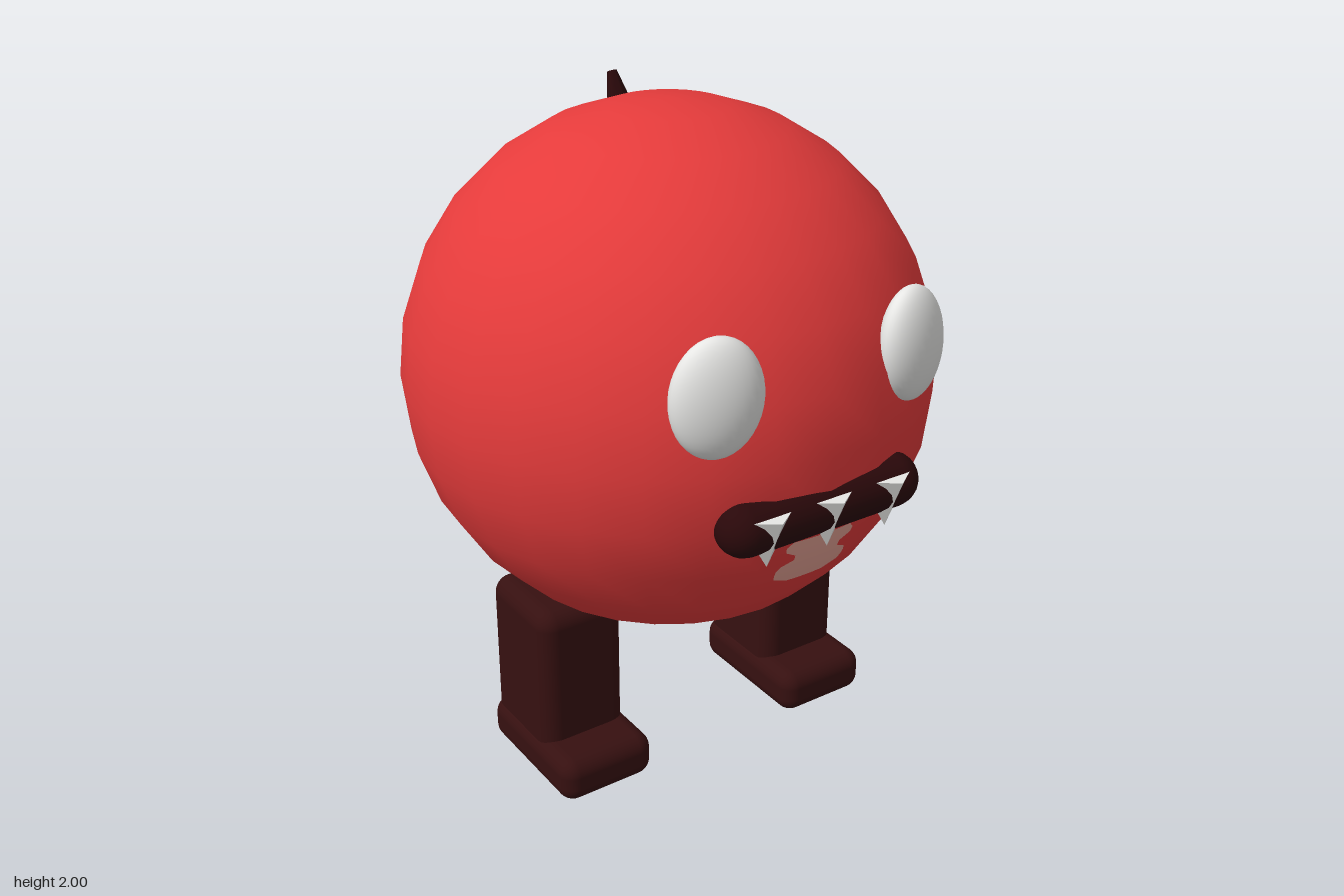
import * as THREE from 'three';
import { RoundedBoxGeometry } from 'three/addons/geometries/RoundedBoxGeometry.js';

const mat = (name, color) => {
  const m = new THREE.MeshStandardMaterial({ color });
  m.name = name;
  return m;
};

export function createModel() {
  const group = new THREE.Group();
  const red = mat('red skin', 0xe53b3b);
  const white = mat('off white', 0xe6e6e4);
  const maroon = mat('dark maroon', 0x361010);
  const black = mat('mouth black', 0x2a080a);
  const pink = mat('pale pink', 0xf0aa9c);
  pink.side = THREE.DoubleSide;

  const add = (name, geo, material, x, y, z) => {
    const mesh = new THREE.Mesh(geo, material);
    mesh.name = name;
    mesh.position.set(x, y, z);
    group.add(mesh);
    return mesh;
  };

  // Round body
  const R = 0.777, CY = 1.2, CZ = -0.022;
  add('body', new THREE.SphereGeometry(R, 28, 14), red, 0, CY, CZ);

  // Eyes, legs and feet, mirrored
  for (const s of [1, -1]) {
    const side = s > 0 ? 'left' : 'right';
    const eye = add(side + 'Eye', new THREE.SphereGeometry(1, 32, 20), white, s * 0.317, 1.418, 0.666);
    eye.scale.set(0.126, 0.162, 0.064);
    eye.rotation.set(-0.06, s * 0.28, s * 0.08);
    add(side + 'Leg', new RoundedBoxGeometry(0.28, 0.53, 0.325, 4, 0.055), maroon, s * 0.405, 0.31, -0.0175);
    add(side + 'Foot', new RoundedBoxGeometry(0.31, 0.14, 0.46, 4, 0.05), maroon, s * 0.405, 0.07, 0.05);
  }

  // Mouth: a horizontal capsule half sunk in the body
  const mouth = add('mouth', new THREE.CapsuleGeometry(0.078, 0.494, 8, 20), black, 0, 1.043, 0.693);
  mouth.rotation.z = Math.PI / 2;

  // Fangs: four-sided spikes pointing down
  for (const x of [-0.2, 0, 0.2]) {
    const fang = new THREE.ConeGeometry(1, 0.155, 4).toNonIndexed();
    fang.computeVertexNormals();
    fang.rotateX(Math.PI).scale(0.09, 1, 0.062);
    add('fang', fang, white, x, 1.01, 0.735);
  }

  // Chin patch: a thin sheet wrapped on the body, width varying by row
  const rows = [0.095, 0.112, 0.108, 0.075, 0.073, 0.108, 0.116, 0.115, 0.108, 0.06];
  const patch = new THREE.PlaneGeometry(2, 1, 10, rows.length - 1);
  const p = patch.attributes.position;
  for (let i = 0; i < p.count; i++) {
    const row = Math.floor(i / 11);
    const x = p.getX(i) * rows[row];
    const y = 0.962 - (0.162 * row) / (rows.length - 1) - CY;
    p.setXYZ(i, x, y, Math.sqrt((R + 0.003) ** 2 - x * x - y * y));
  }
  patch.computeVertexNormals();
  add('chinPatch', patch, pink, 0, CY, CZ);

  // Small horn leaning back
  const horn = add('horn', new THREE.CylinderGeometry(0.014, 0.042, 0.12, 6), black, 0, 1.939, -0.286);
  horn.rotation.x = -0.4;

  return group;
}
